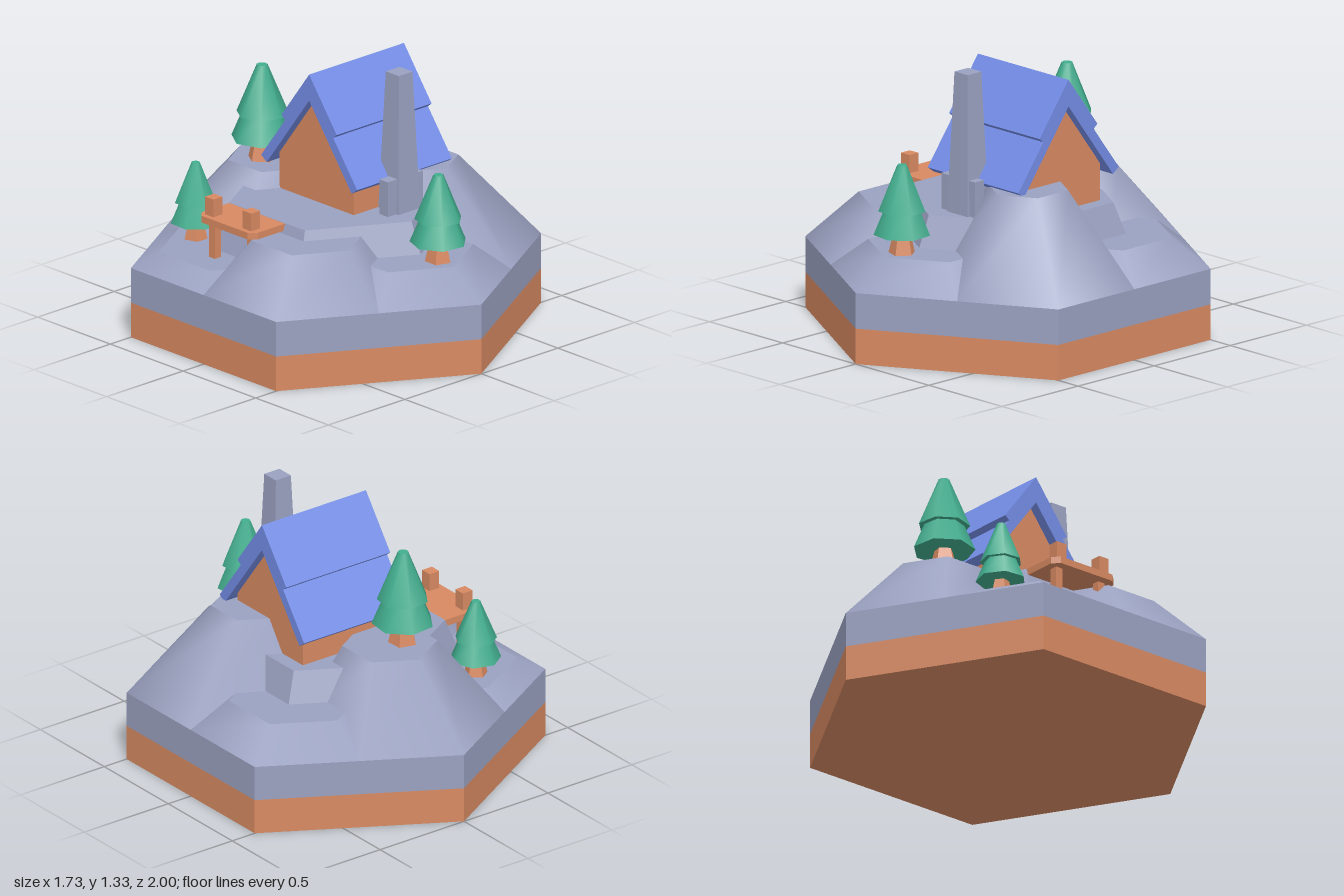
import * as THREE from 'three';

const mat = (name, color) => new THREE.MeshStandardMaterial({ name, color });

export function createModel() {
  const stone = mat('stone', 0x9aa1c0);
  const wood = mat('wood', 0xd88a62);
  const roofBlue = mat('roofBlue', 0x748de6);
  const leaf = mat('leaf', 0x42ae8e);
  const model = new THREE.Group();

  function add(name, geo, material, x = 0, y = 0, z = 0, parent = model) {
    const mesh = new THREE.Mesh(geo, material);
    mesh.name = name;
    mesh.position.set(x, y, z);
    parent.add(mesh);
    return mesh;
  }
  // Faceted prism or frustum standing on y = 0
  function prism(rTop, rBottom, h, sides, turn = 0) {
    const g = new THREE.CylinderGeometry(rTop, rBottom, h, sides).rotateY(turn).translate(0, h / 2, 0).toNonIndexed();
    g.computeVertexNormals();
    return g;
  }
  // Square tapered block, given half widths
  const block = (top, bottom, h) => prism(top * Math.SQRT2, bottom * Math.SQRT2, h, 4, Math.PI / 4);
  const box = (w, h, d) => new THREE.BoxGeometry(w, h, d);
  const outline = pts => new THREE.Shape(pts.map(p => new THREE.Vector2(...p)));
  const extrude = (pts, depth) => new THREE.ExtrudeGeometry(outline(pts), { depth, bevelEnabled: false });

  // Hexagonal tile: earth below, stone above
  add('earthBase', prism(1, 1, 0.175, 6), wood);
  add('stoneBase', prism(1, 1, 0.175, 6), stone, 0, 0.175, 0);
  add('centrePlateau', prism(0.52, 0.64, 0.29, 6), stone, 0, 0.35, 0);

  // One smooth hill towards each corner; higher hills have smaller tops nearer the centre
  [0.49, 0.785, 0.49, 0.715, 0.42, 0.592].forEach((top, i) => {
    const a = i * Math.PI / 3, dx = Math.sin(a), dz = Math.cos(a);
    const rTop = 0.2 + (0.78 - top) * 0.42;
    const shift = 0.4 + (0.78 - top) * 0.31 - 0.5;
    const g = new THREE.CylinderGeometry(rTop, 0.5, top - 0.35, 6);
    const p = g.attributes.position;
    for (let k = 0; k < p.count; k++) {
      if (p.getY(k) > 0) p.setXYZ(k, p.getX(k) + dx * shift, p.getY(k), p.getZ(k) + dz * shift);
    }
    add('hill' + (i + 1), g, stone, dx * 0.5, (top + 0.35) / 2, dz * 0.5);
  });

  // House, extruded along x from gable profiles
  const house = new THREE.Group();
  house.name = 'house';
  house.position.set(0.12, 0, 0.015);
  model.add(house);
  function gable(name, pts, length, material) {
    const g = extrude(pts, length).translate(0, 0, -length / 2).rotateY(-Math.PI / 2);
    return add(name, g, material, 0, 0, 0, house);
  }
  gable('walls', [[-0.255, 0.6], [0.255, 0.6], [0.255, 0.84], [0, 1.18], [-0.255, 0.84]], 0.52, wood);
  const half = [[0.19, 1.045], [0.165, 1.02], [0.185, 1.02], [0.33, 0.81], [0.29, 0.775]];
  half[1] = [0.155, 1.03];
  half[2] = [0.17, 1.035];
  gable('roof', [
    [0, 1.295], [0.19, 1.04], [0.165, 1.02], [0.33, 0.8], [0.292, 0.772], [0, 1.163],
    [-0.292, 0.772], [-0.33, 0.8], [-0.165, 1.02], [-0.19, 1.04],
  ], 0.62, roofBlue);

  // Chimney on a low hearth
  add('chimney', block(0.045, 0.075, 0.83), stone, 0.085, 0.5, 0.345);
  add('hearth', box(0.23, 0.21, 0.06), stone, 0.075, 0.71, 0.37);

  // Lookout deck with clipped outer corners, stub posts and legs
  const deck = extrude([
    [-0.4, -0.125], [-0.4, 0.26], [-0.63, 0.26], [-0.665, 0.225], [-0.665, -0.09], [-0.63, -0.125],
  ], 0.034).rotateX(-Math.PI / 2);
  add('deck', deck, wood, 0, 0.604, 0);
  for (const z of [-0.2, 0.06]) {
    add('deckPost', box(0.058, 0.095, 0.058), wood, -0.61, 0.68, z);
    add('deckLeg', box(0.04, 0.24, 0.04), wood, -0.6, 0.49, z);
  }

  // Trees: flared trunk and two stacked tiers
  function tree(name, x, y, z, scale, turn) {
    const g = new THREE.Group();
    g.name = name;
    g.position.set(x, y, z);
    g.scale.setScalar(scale);
    g.rotation.y = turn;
    model.add(g);
    const tier = (rTop, rBottom, h) => new THREE.CylinderGeometry(rTop, rBottom, h, 7);
    add('trunk', prism(0.035, 0.068, 0.14, 5), wood, 0, -0.01, 0, g);
    add('lowerTier', tier(0.08, 0.138, 0.14), leaf, 0, 0.165, 0, g);
    add('upperTier', tier(0.024, 0.115, 0.225), leaf, 0, 0.3225, 0, g);
  }
  tree('frontTree', 0.005, 0.49, 0.7, 1, 0.3);
  tree('backTree', -0.06, 0.715, -0.445, 1.09, 1.0);
  tree('backLeftTree', -0.49, 0.42, -0.45, 0.88, 0.6);

  return model;
}
